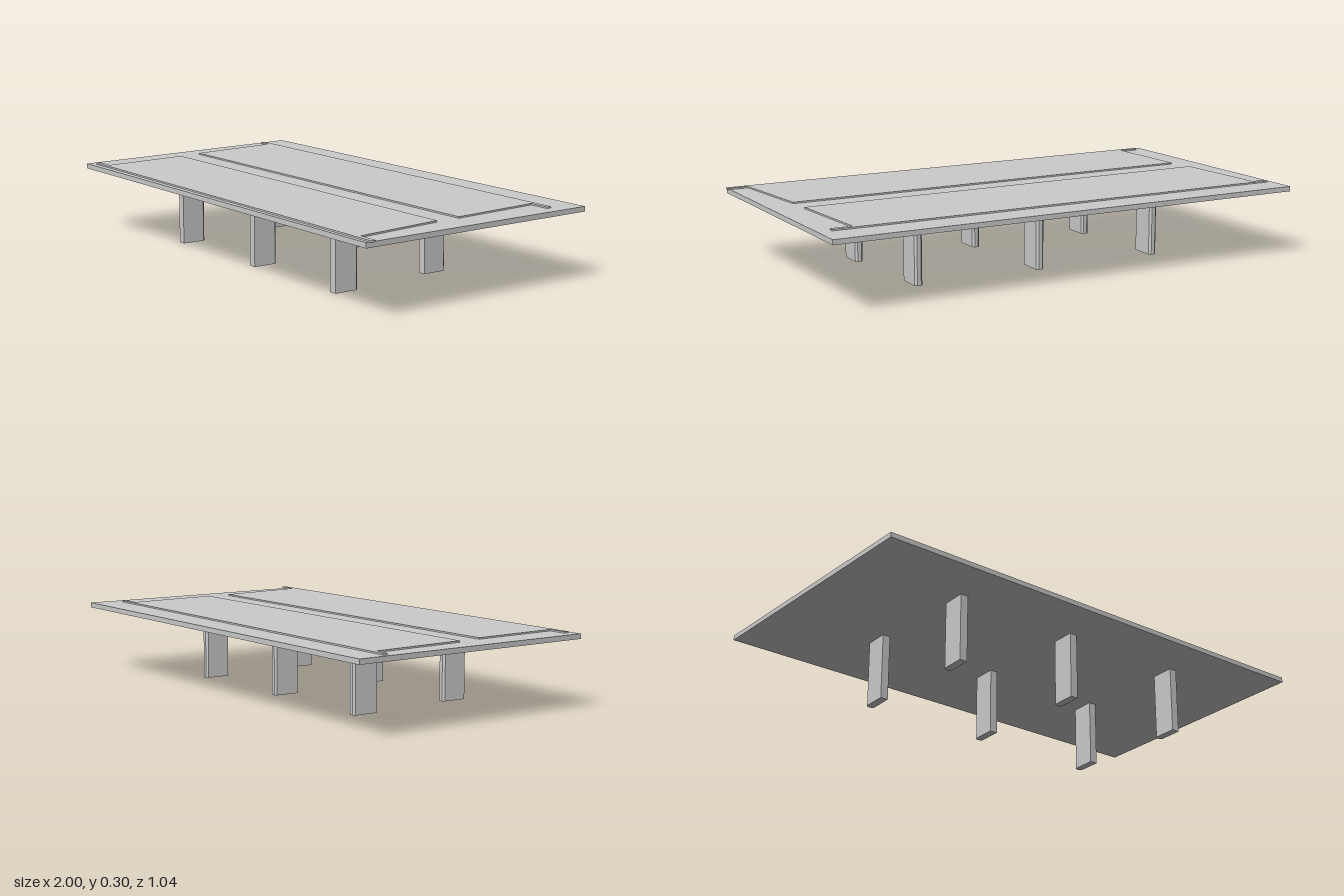
import * as THREE from 'three';

const material = new THREE.MeshStandardMaterial({ color: 0xcccccc, flatShading: true });

// Upright prism from a plan outline of [x, z] corners, between two heights
function prism(name, plan, y0, y1) {
  const shape = new THREE.Shape(plan.map(([x, z]) => new THREE.Vector2(x, -z)));
  const geometry = new THREE.ExtrudeGeometry(shape, { depth: y1 - y0, bevelEnabled: false });
  geometry.rotateX(-Math.PI / 2);
  geometry.translate(0, y0, 0);
  const mesh = new THREE.Mesh(geometry, material);
  mesh.name = name;
  return mesh;
}

export function createModel() {
  const model = new THREE.Group();
  model.name = 'platform';
  const under = 0.27, deck = 0.29, raised = 0.296;

  // Slightly skewed slab
  model.add(prism('slab', [[-0.955, 0.52], [0.99, 0.52], [0.97, -0.52], [-1, -0.525]], under, deck));

  // Two thin raised panels, each with a longer strip along its outer edge
  model.add(prism('frontPanel', [[-0.835, 0.476], [0.915, 0.485], [0.87, 0.11], [-0.86, 0.11]], deck, raised));
  model.add(prism('frontStrip', [[-0.915, 0.495], [1, 0.505], [1, 0.485], [-0.915, 0.475]], deck, raised));
  model.add(prism('backPanel', [[-0.88, 0.005], [0.865, 0.005], [0.835, -0.376], [-0.915, -0.39]], deck, raised));
  model.add(prism('backStrip', [[-0.975, -0.39], [0.92, -0.375], [0.92, -0.395], [-0.975, -0.41]], deck, raised));

  // Three pairs of blade legs, back row shifted, with chamfered back ends
  const w = 0.016, d = 0.052, c = 0.008;
  const legPlan = [[-w, d], [w, d], [w, -d + c], [w - c, -d], [-w + c, -d], [-w, -d + c]];
  for (const [row, x0, z] of [['front', 0.025, 0.278], ['back', -0.02, -0.178]]) {
    for (const i of [-1, 0, 1]) {
      const leg = prism(row + 'Leg', legPlan, 0, under);
      leg.position.set(x0 + i * 0.525, 0, z);
      model.add(leg);
    }
  }
  return model;
}
